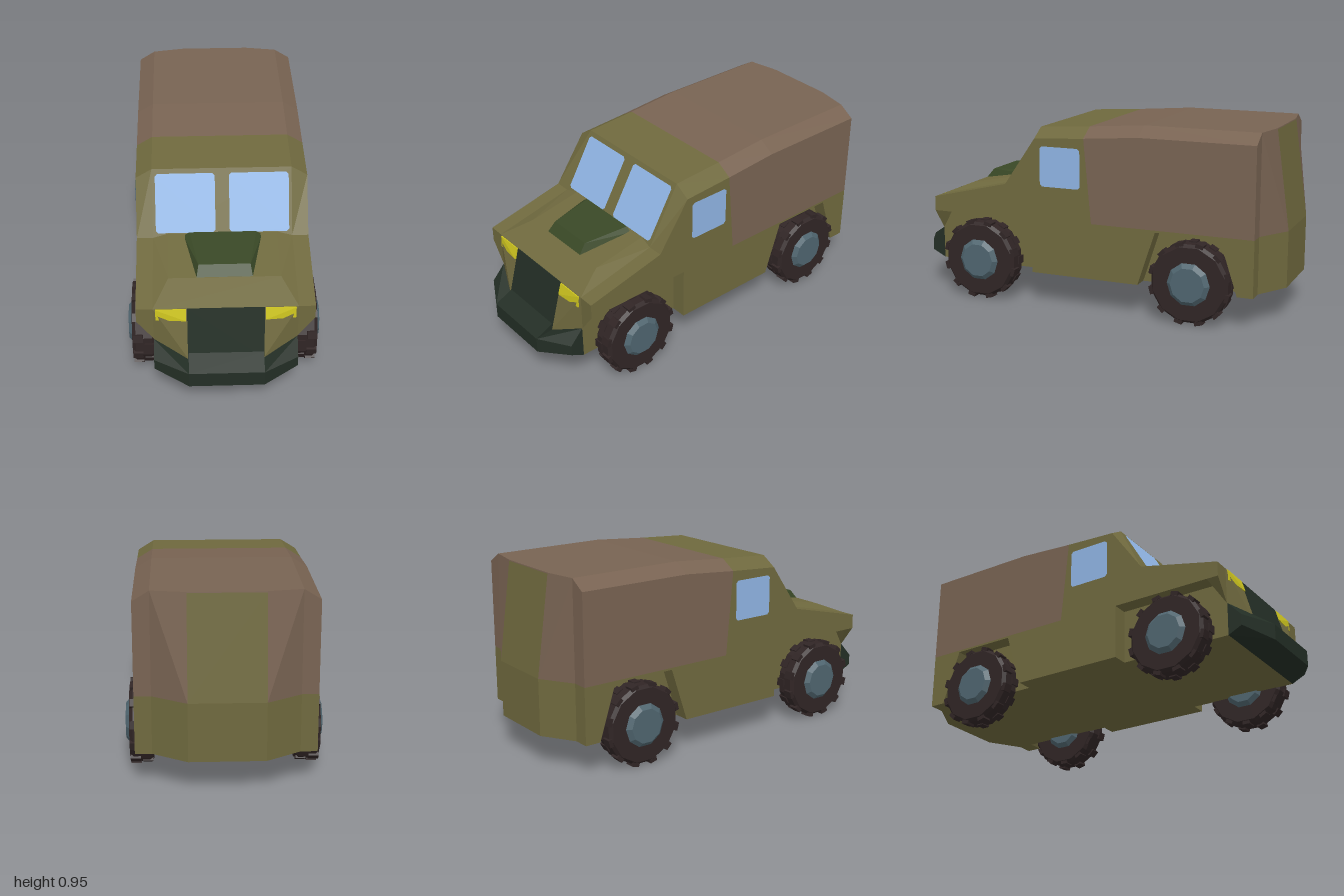
import * as THREE from 'three';
import { ConvexGeometry } from 'three/addons/geometries/ConvexGeometry.js';

const paint = (name, color) => Object.assign(new THREE.MeshStandardMaterial({ color }), { name });

export function createModel() {
  const olive = paint('olive paint', 0x6f693e);
  const brown = paint('brown canvas', 0x786352);
  const dark = paint('dark green trim', 0x232e25);
  const green = paint('scoop green', 0x394826);
  const glass = paint('blue glass', 0x8fb4e3);
  const yellow = paint('lamp yellow', 0xccc31e);
  const rubber = paint('tyre rubber', 0x302525);
  const steel = paint('hub steel', 0x4f656f);

  const model = new THREE.Group();
  model.name = 'utilityTruck';
  const add = (name, geometry, material, parent = model) => {
    const mesh = new THREE.Mesh(geometry, material);
    mesh.name = name;
    parent.add(mesh);
    return mesh;
  };
  const flat = (geometry) => {
    const g = geometry.index ? geometry.toNonIndexed() : geometry;
    g.computeVertexNormals();
    return g;
  };
  const hull = (points) => new ConvexGeometry(points.map((p) => new THREE.Vector3(...p)));
  // Convex solid symmetric about x = 0
  const mirroredHull = (points) => hull(points.flatMap(([x, y, z]) => [[x, y, z], [-x, y, z]]));
  // Side profile of [z, y] points, extruded across x from x0 to x1
  const slab = (profile, x0, x1) => {
    const shape = new THREE.Shape(profile.map(([z, y]) => new THREE.Vector2(z, y)));
    return new THREE.ExtrudeGeometry(shape, { depth: x1 - x0, bevelEnabled: false })
      .rotateY(-Math.PI / 2).translate(x1, 0, 0);
  };

  // Central body and canvas
  const IN = 0.345, OUT = 0.425;
  add('bodyCore', flat(slab([[-0.9, 0.16], [0.84, 0.16], [0.84, 0.51], [0.42, 0.61], [0.25, 0.905],
    [-0.02, 0.922], [-0.06, 0.445], [-0.9, 0.445]], -IN, IN)), olive);
  add('canvasCore', flat(slab([[-0.06, 0.445], [-0.02, 0.922], [-0.31, 0.945], [-0.9, 0.945],
    [-0.9, 0.445]], -IN, IN)), brown);

  // Side panels with wheel wells; inner edges rise to form the roof chamfer
  const lowerSide = [[-0.9, 0.16], [-0.82, 0.16], [-0.73, 0.435], [-0.4, 0.435], [-0.31, 0.16],
    [0.27, 0.16], [0.27, 0.435], [0.78, 0.435], [0.84, 0.435], [0.84, 0.51], [0.42, 0.61],
    [0.25, 0.855], [-0.02, 0.872], [-0.06, 0.445], [-0.9, 0.445]];
  const canvasSide = [[-0.06, 0.445], [-0.02, 0.872], [-0.31, 0.895], [-0.9, 0.895], [-0.9, 0.445]];
  const sidePanel = (profile, side) => {
    const g = side > 0 ? slab(profile, IN, OUT) : slab(profile, -OUT, -IN);
    const p = g.attributes.position;
    for (let i = 0; i < p.count; i++) {
      if (Math.abs(p.getX(i)) > IN + 0.01) continue;
      const y = p.getY(i);
      if (y > 0.7) p.setY(i, y + 0.05);
      else if (p.getZ(i) > 0.83 && y < 0.45) p.setY(i, 0.325);
    }
    return flat(g);
  };

  // Rounded window pane
  const pane = (w, h, r = 0.012) => {
    const s = new THREE.Shape();
    const a = w / 2, b = h / 2;
    s.moveTo(-a + r, -b).lineTo(a - r, -b).lineTo(a, -b + r).lineTo(a, b - r)
      .lineTo(a - r, b).lineTo(-a + r, b).lineTo(-a, b - r).lineTo(-a, -b + r);
    return new THREE.ShapeGeometry(s);
  };

  for (const s of [1, -1]) {
    const label = s > 0 ? 'left' : 'right';
    add(label + 'SidePanel', sidePanel(lowerSide, s), olive);
    add(label + 'CanvasSide', sidePanel(canvasSide, s), brown);
    // Rear canvas corner
    add(label + 'RearCanvas', hull([[0.18, 0.445, -1], [0.345, 0.445, -0.9], [0.18, 0.445, -0.9],
      [0.18, 0.945, -0.93], [0.345, 0.945, -0.9], [0.18, 0.945, -0.9]]
      .map(([x, y, z]) => [x * s, y, z])), brown);
    // Sloping nose cheek
    add(label + 'NoseCheek', hull([[0.345, 0.51, 0.84], [0.345, 0.325, 0.84], [0.18, 0.25, 0.91],
      [0.18, 0.51, 0.84], [0.18, 0.25, 0.84]].map(([x, y, z]) => [x * s, y, z])), olive);
    // Bumper end
    add(label + 'BumperEnd', hull([[0.18, 0.24, 1], [0.18, 0.16, 1], [0.345, 0.25, 0.91],
      [0.345, 0.195, 0.91], [0.345, 0.325, 0.842], [0.345, 0.16, 0.84], [0.18, 0.25, 0.905],
      [0.18, 0.16, 0.84]].map(([x, y, z]) => [x * s, y, z])), dark);
    // Headlight plate following the cheek
    const lamp = [[0.188, 0.508, 0.846], [0.333, 0.508, 0.846], [0.333, 0.45, 0.851], [0.188, 0.45, 0.863]];
    add(label + 'Headlight', hull(lamp.flatMap(([x, y, z]) => [[x * s, y, z], [x * s, y, z - 0.009]])), yellow);
    // Windows
    add(label + 'Windshield', pane(0.295, 0.294), glass)
      .position.set(s * 0.1825, 0.759, 0.339);
    model.children.at(-1).rotation.x = -Math.atan(0.17 / 0.295);
    const sideWindow = add(label + 'SideWindow', pane(0.22, 0.205), glass);
    sideWindow.position.set(s * (OUT + 0.003), 0.717, 0.11);
    sideWindow.rotation.y = s * Math.PI / 2;
  }

  // Tail
  add('rearLower', mirroredHull([[0.345, 0.16, -0.9], [0.18, 0.16, -1], [0.345, 0.445, -0.9], [0.18, 0.445, -1]]), olive);
  add('rearDoor', mirroredHull([[0.18, 0.445, -0.9], [0.18, 0.445, -1], [0.18, 0.94, -0.9], [0.18, 0.94, -0.9307]]), olive);
  add('rearRoofLip', mirroredHull([[0.18, 0.94, -0.9], [0.18, 0.94, -0.9307], [0.18, 0.945, -0.9], [0.18, 0.945, -0.93]]), brown);

  // Nose, hood and scoop
  add('grille', mirroredHull([[0.183, 0.51, 0.8], [0.183, 0.51, 0.843], [0.183, 0.25, 0.914], [0.183, 0.25, 0.8]]), dark);
  add('bumperCentre', mirroredHull([[0.18, 0.285, 0.905], [0.18, 0.24, 1], [0.18, 0.16, 1], [0.18, 0.16, 0.84], [0.18, 0.285, 0.84]]), dark);
  add('hoodBulge', mirroredHull([[0.345, 0.51, 0.84], [0.345, 0.61, 0.42], [0.27, 0.572, 0.69], [0.27, 0.627, 0.41]]), olive);
  add('hoodScoop', mirroredHull([[0.135, 0.57, 0.69], [0.125, 0.62, 0.65], [0.165, 0.64, 0.42],
    [0.195, 0.62, 0.42], [0.15, 0.56, 0.42]]), green);

  // Wheels: twelve-sided tyre, staggered tread lugs and a bevelled hub
  const profile = (points) => points.map(([r, y]) => new THREE.Vector2(r, y));
  const tyre = flat(new THREE.LatheGeometry(profile([[0, -0.057], [0.188, -0.057], [0.203, -0.04],
    [0.203, 0.04], [0.188, 0.057], [0, 0.057]]), 12).rotateY(Math.PI / 12).rotateZ(-Math.PI / 2));
  const hub = flat(new THREE.LatheGeometry(profile([[0, -0.077], [0.087, -0.077], [0.112, -0.055],
    [0.112, 0.055], [0.087, 0.077], [0, 0.077]]), 10).rotateZ(-Math.PI / 2));
  const lug = new THREE.BoxGeometry(0.05, 0.02, 0.04);
  for (const z of [0.567, -0.585]) {
    for (const s of [1, -1]) {
      const wheel = new THREE.Group();
      wheel.name = (z > 0 ? 'front' : 'rear') + (s > 0 ? 'Left' : 'Right') + 'Wheel';
      wheel.position.set(s * 0.398, 0.202, z);
      add('tyre', tyre, rubber, wheel);
      add('hub', hub, steel, wheel);
      for (let i = 0; i < 24; i++) {
        const a = (i * Math.PI) / 12;
        const r = i % 2 ? 0.199 : 0.192;
        const block = add('treadLug', lug, rubber, wheel);
        block.position.set((i % 2 ? s : -s) * 0.029, r * Math.cos(a), r * Math.sin(a));
        block.rotation.x = a;
      }
      model.add(wheel);
    }
  }
  return model;
}
